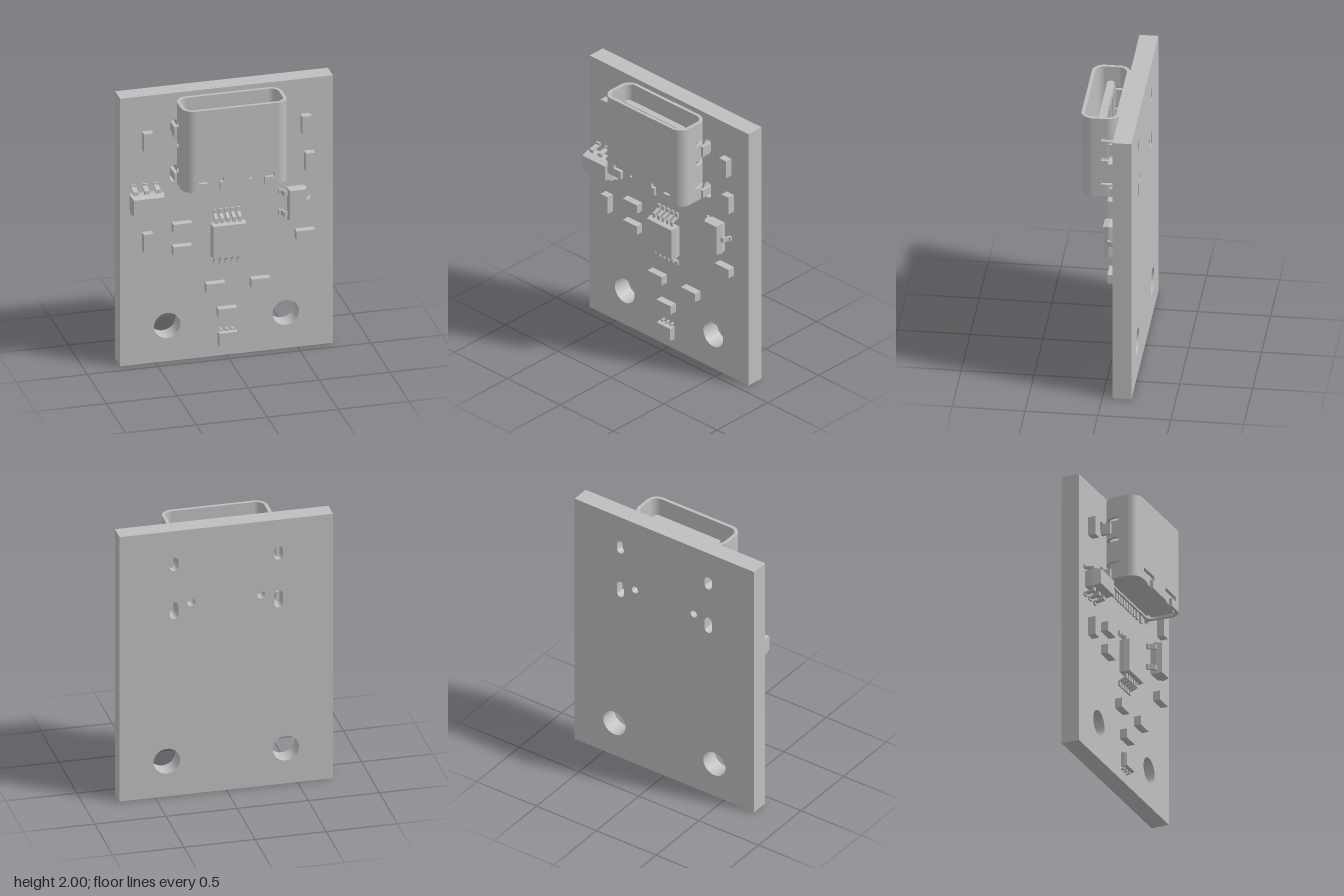
import * as THREE from 'three';

const grey = new THREE.MeshStandardMaterial({ color: 0xbfbfbf });
grey.name = 'plain grey';
const FACE = -0.07; // front surface of the board

function add(parent, name, geometry) {
  const mesh = new THREE.Mesh(geometry, grey);
  mesh.name = name;
  parent.add(mesh);
  return mesh;
}

// Box given by its limits
function block(parent, name, x0, x1, y0, y1, z0, z1) {
  const g = new THREE.BoxGeometry(x1 - x0, y1 - y0, z1 - z0);
  g.translate((x0 + x1) / 2, (y0 + y1) / 2, (z0 + z1) / 2);
  return add(parent, name, g);
}

// Upright rounded slot outline
function slot(Type, cx, cy, w, h) {
  const s = new Type(), r = w / 2, d = h / 2 - r;
  s.absarc(cx, cy + d, r, 0, Math.PI, false);
  s.absarc(cx, cy - d, r, Math.PI, Math.PI * 2, false);
  s.closePath();
  return s;
}

function makeBoard(parent) {
  const s = new THREE.Shape();
  s.moveTo(-0.75, 0).lineTo(0.75, 0).lineTo(0.75, 2).lineTo(-0.75, 2).closePath();
  const hole = (x, y, r) => s.holes.push(new THREE.Path().absarc(x, y, r, 0, Math.PI * 2, true));
  for (const m of [-1, 1]) {
    hole(m * 0.418, 0.267, 0.093);
    hole(m * 0.245, 1.445, 0.027);
    s.holes.push(slot(THREE.Path, m * 0.367, 1.75, 0.06, 0.1));
    s.holes.push(slot(THREE.Path, m * 0.367, 1.4, 0.06, 0.125));
  }
  const g = new THREE.ExtrudeGeometry(s, { depth: 0.13, bevelEnabled: false, curveSegments: 20 });
  add(parent, 'circuitBoard', g.translate(0, 0, -0.2));
}

// Chip body with chamfered upper and lower halves
function chipBody(w, h, z0, z1, taper) {
  const g = new THREE.BoxGeometry(w, h, z1 - z0, 1, 1, 2).toNonIndexed();
  const p = g.attributes.position;
  for (let i = 0; i < p.count; i++) {
    if (Math.abs(p.getZ(i)) < 1e-5) continue;
    p.setX(i, p.getX(i) - Math.sign(p.getX(i)) * taper);
    p.setY(i, p.getY(i) - Math.sign(p.getY(i)) * taper);
  }
  g.computeVertexNormals();
  return g.translate(0, 0, (z0 + z1) / 2);
}

// Bent lead pointing to +x, starting at the body edge
function leadGeometry(reach, width, zm, t) {
  const a = reach * 0.3, b = reach * 0.55, e = t * 0.6, f = FACE;
  const s = new THREE.Shape([
    [-0.02, zm], [a, zm], [b, f], [reach, f],
    [reach, f + t], [b + e, f + t], [a + e, zm + t], [-0.02, zm + t],
  ].map(([x, y]) => new THREE.Vector2(x, y)));
  const g = new THREE.ExtrudeGeometry(s, { depth: width, bevelEnabled: false });
  return g.translate(0, 0, -width / 2).rotateX(Math.PI / 2);
}

// Chip with leads; each lead is [x, y, angle] on the body edge
function makeChip(parent, name, o) {
  const chip = new THREE.Group();
  chip.name = name;
  chip.position.set(o.x, o.y, 0);
  add(chip, 'chipBody', chipBody(o.w, o.h, o.z0, o.z1, o.taper));
  const g = leadGeometry(o.reach, o.leadWidth, o.zm, o.t);
  for (const [x, y, angle] of o.leads) {
    const lead = add(chip, 'lead', g);
    lead.position.set(x, y, 0);
    lead.rotation.z = angle;
  }
  parent.add(chip);
}

// Evenly spaced leads along the upper and lower edges
function twoRows(n, step, h) {
  const leads = [];
  for (let i = 0; i < n; i++) {
    const x = (i - (n - 1) / 2) * step;
    leads.push([x, h / 2, Math.PI / 2], [x, -h / 2, -Math.PI / 2]);
  }
  return leads;
}

// Quarter of the shell's rounded wall
function shellCorner(parent, cx, cz, start, r, t, y0, y1) {
  const s = new THREE.Shape();
  s.absarc(cx, -cz, r, start, start + Math.PI / 2, false);
  s.absarc(cx, -cz, r - t, start + Math.PI / 2, start, true);
  s.closePath();
  const g = new THREE.ExtrudeGeometry(s, { depth: y1 - y0, bevelEnabled: false, curveSegments: 10 });
  add(parent, 'shellCorner', g.rotateX(-Math.PI / 2).translate(0, y0, 0));
}

function makeConnector(parent) {
  const c = new THREE.Group();
  c.name = 'connector';
  const X = 0.371, Z0 = -0.064, Z1 = 0.199, r = 0.083, t = 0.024;
  const x = X - r, za = Z0 + r, zb = Z1 - r;
  // Shell in bands: [bottom, top, front wall gap, side slot]
  const bands = [
    [1.36, 1.42, [0.115, 0.2], false], [1.42, 1.452, [0.09, 0.265], false],
    [1.452, 1.485, null, true], [1.485, 1.637, null, false],
    [1.637, 1.667, null, true], [1.667, 1.79, null, false],
    [1.79, 1.817, null, true], [1.817, 1.967, null, false],
  ];
  for (const [y0, y1, gap, side] of bands) {
    block(c, 'shellBack', -x, x, y0, y1, Z0, Z0 + t);
    const front = gap ? [[-x, -gap[1]], [-gap[0], gap[0]], [gap[1], x]] : [[-x, x]];
    for (const [a, b] of front) block(c, 'shellFront', a, b, y0, y1, Z1 - t, Z1);
    shellCorner(c, x, zb, -Math.PI / 2, r, t, y0, y1);
    shellCorner(c, -x, zb, Math.PI, r, t, y0, y1);
    if (!side) {
      shellCorner(c, x, za, 0, r, t, y0, y1);
      shellCorner(c, -x, za, Math.PI / 2, r, t, y0, y1);
    }
    const z = side ? 0.055 : za;
    block(c, 'shellSide', X - t, X, y0, y1, z, zb);
    block(c, 'shellSide', -X, -X + t, y0, y1, z, zb);
  }
  // Insulating core and tongue
  block(c, 'core', -0.34, 0.34, 1.375, 1.5, -0.02, 0.155);
  block(c, 'coreMiddle', -0.3, 0.3, 1.375, 1.5, -0.042, 0.176);
  const tongue = slot(THREE.Shape, 0, 0, 0.05, 0.55);
  const tg = new THREE.ExtrudeGeometry(tongue, { depth: 0.41, bevelEnabled: false });
  add(c, 'tongue', tg.rotateZ(Math.PI / 2).rotateX(-Math.PI / 2).translate(0, 1.49, 0.065));
  // Solder pins and tongue contacts
  const pins = [[0.267, 0.027], [0.2, 0.027], [0.146, 0.018], [0.104, 0.018], [0.0625, 0.018], [0.021, 0.018]];
  for (const m of [-1, 1]) {
    for (const [px, w] of pins) {
      block(c, 'solderPin', m * px - w / 2, m * px + w / 2, 1.308, 1.4, FACE, -0.055);
      block(c, 'contact', m * px - w / 2, m * px + w / 2, 1.5, 1.86, 0.036, 0.042);
    }
    // Mounting tabs reaching into the board slots, and locating pegs
    for (const [y0, y1] of [[1.695, 1.775], [1.37, 1.43]]) {
      const tab = block(c, 'mountingTab', 0.362, 0.386, y0, y1, -0.15, 0.0);
      if (m < 0) tab.position.x = -0.748;
    }
    const peg = add(c, 'peg', new THREE.CylinderGeometry(0.023, 0.023, 0.09, 16).rotateX(Math.PI / 2));
    peg.position.set(m * 0.245, 1.445, -0.085);
  }
  parent.add(c);
}

export function createModel() {
  const model = new THREE.Group();
  model.name = 'connectorBoard';
  makeBoard(model);
  makeConnector(model);

  // Small two-terminal parts: centre and whether upright
  const passives = [
    [-0.563, 1.672, 1], [0.555, 1.672, 1], [0.58, 1.394, 1], [-0.563, 0.92, 1],
    [-0.32, 1.004, 0], [-0.32, 0.835, 0], [0.548, 0.853, 0],
    [-0.087, 0.53, 0], [0.23, 0.53, 0], [-0.003, 0.334, 0],
  ];
  for (const [x, y, up] of passives) {
    const w = up ? 0.0335 : 0.0667, h = up ? 0.0667 : 0.0335;
    block(model, 'passivePart', x - w, x + w, y - h, y + h, FACE, -0.017);
  }

  makeChip(model, 'mainChip', {
    x: -0.002, y: 0.893, w: 0.245, h: 0.244, z0: -0.052, z1: 0.025, taper: 0.006,
    reach: 0.085, leadWidth: 0.022, zm: -0.022, t: 0.014, leads: twoRows(5, 0.0417, 0.244),
  });
  makeChip(model, 'sixLeadChip', {
    x: -0.58, y: 1.2345, w: 0.236, h: 0.13, z0: -0.055, z1: 0.066, taper: 0.01,
    reach: 0.05, leadWidth: 0.035, zm: -0.006, t: 0.015, leads: twoRows(3, 0.079, 0.13),
  });
  makeChip(model, 'smallChip', {
    x: -0.002, y: 0.14, w: 0.133, h: 0.1, z0: -0.062, z1: -0.017, taper: 0.004,
    reach: 0.018, leadWidth: 0.018, zm: -0.055, t: 0.01, leads: twoRows(3, 0.0417, 0.1),
  });
  makeChip(model, 'transistor', {
    x: 0.48, y: 1.103, w: 0.13, h: 0.236, z0: -0.06, z1: 0.023, taper: 0.008,
    reach: 0.05, leadWidth: 0.035, zm: -0.024, t: 0.014,
    leads: [[0.065, 0, 0], [-0.065, 0.077, Math.PI], [-0.065, -0.077, Math.PI]],
  });
  return model;
}
